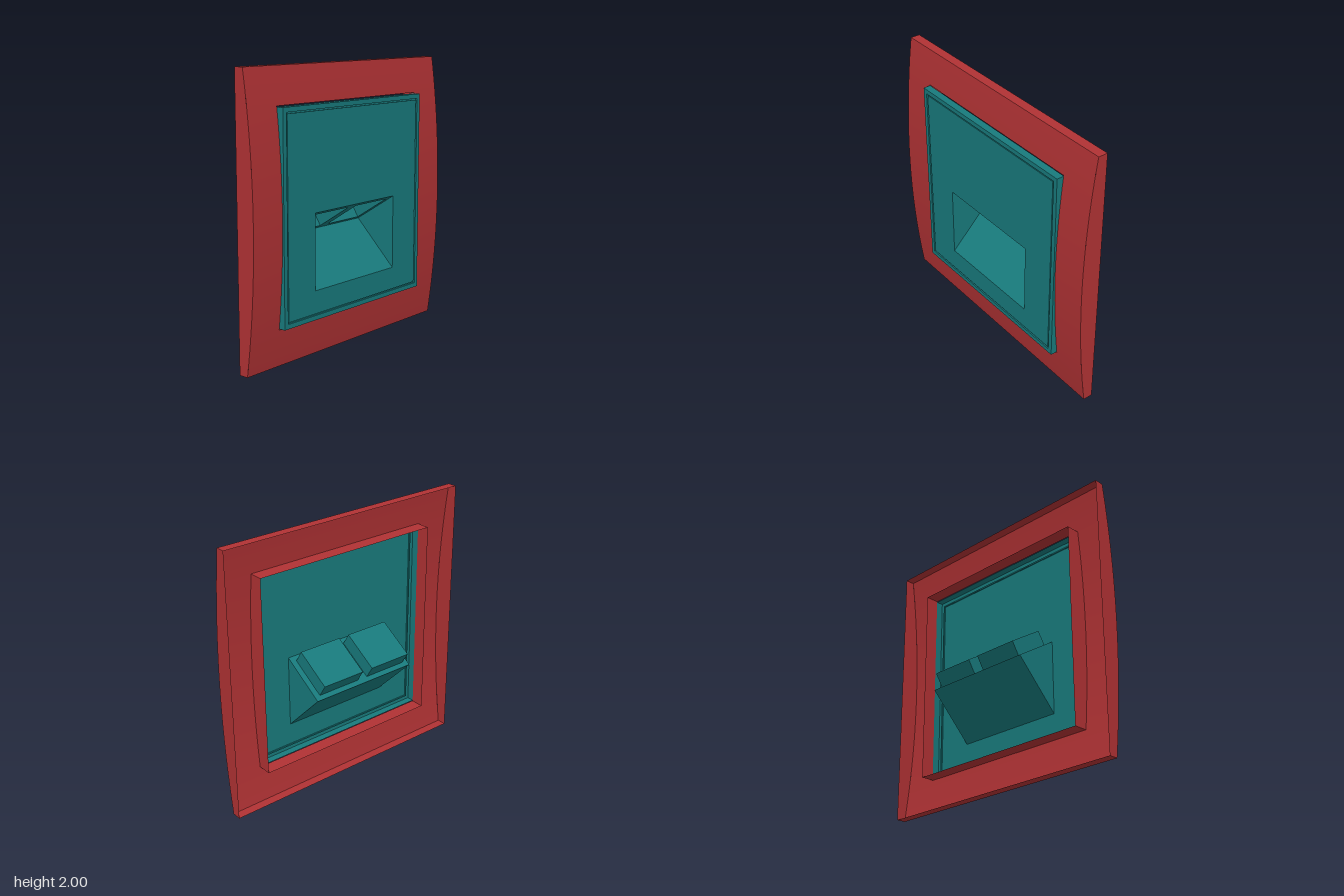
import * as THREE from 'three';

const red = new THREE.MeshStandardMaterial({ color: 0xb03234, side: THREE.DoubleSide });
const teal = new THREE.MeshStandardMaterial({ color: 0x187a7c, side: THREE.DoubleSide });
const tealFlat = teal.clone();
tealFlat.flatShading = true;

function add(parent, name, geometry, material) {
  const mesh = new THREE.Mesh(geometry, material);
  mesh.name = name;
  parent.add(mesh);
  return mesh;
}

// Thin sheet whose points follow fn(u, v) -> [x, y, z]
function sheet(fn, segments = 1) {
  const g = new THREE.PlaneGeometry(1, 1, 1, segments);
  const p = g.attributes.position;
  for (let i = 0; i < p.count; i++) p.setXYZ(i, ...fn(p.getX(i) + 0.5, p.getY(i) + 0.5));
  g.computeVertexNormals();
  return g;
}

function rectangle(Type, x0, y0, x1, y1) {
  return new Type([[x0, y0], [x1, y0], [x1, y1], [x0, y1]].map(([x, y]) => new THREE.Vector2(x, y)));
}

const lerp = THREE.MathUtils.lerp;
const BACK = 0.02;
// Gentle cylindrical bulge: 0.09 at the ends, 0.165 in the middle
const R = 6.7;
const bulge = (y) => 0.165 - R + Math.sqrt(R * R - (y - 1) ** 2);

// Hollow cover plate, local z pointing out of the wall
function createPlate() {
  const plate = new THREE.Group();
  plate.name = 'coverPlate';
  const h = 0.735, yLow = 0.265, yHigh = 1.745;
  const front = (x0, x1, y0, y1) => sheet((u, v) => {
    const y = lerp(y0, y1, v);
    return [lerp(x0, x1, u), y, bulge(y)];
  }, 16);
  add(plate, 'plateTop', front(-1, 1, yHigh, 2), red);
  add(plate, 'plateBottom', front(-1, 1, 0, yLow), red);
  add(plate, 'plateSide', front(-1, -h, yLow, yHigh), red);
  add(plate, 'plateSide', front(h, 1, yLow, yHigh), red);

  // Outer rim walls and the collar around the opening
  for (const [name, w, y0, y1] of [['rim', 1, 0, 2], ['collar', h, yLow, yHigh]]) {
    for (const s of [-1, 1]) {
      add(plate, name + 'Side', sheet((u, v) => {
        const y = lerp(y0, y1, v);
        return [s * w, y, lerp(BACK, bulge(y), u)];
      }, 24), red);
    }
    for (const y of [y0, y1]) {
      add(plate, name + 'End', sheet((u, v) => [lerp(-w, w, u), y, lerp(BACK, bulge(y), v)]), red);
    }
  }
  return plate;
}

// Square insert: stepped frame, panel and angled socket recess
function createInsert() {
  const insert = new THREE.Group();
  insert.name = 'insert';

  // Stepped frame, a four-sided lathe
  const steps = [[0.733, 0.12], [0.733, 0.175], [0.7, 0.175], [0.7, 0.163], [0.69, 0.163], [0.69, 0.172]];
  const frame = new THREE.LatheGeometry(
    steps.map(([r, z]) => new THREE.Vector2(r * Math.SQRT2, z)), 4, Math.PI / 4);
  frame.rotateX(Math.PI / 2);
  add(insert, 'insertFrame', frame, tealFlat).position.y = 1.005;

  // Panel with the recess opening
  const PZ = 0.172, W = 0.425;
  const low = [0.477, PZ], lip = [0.807, -0.155], high = [1.013, PZ];
  const panel = rectangle(THREE.Shape, -0.69, 0.315, 0.69, 1.695);
  panel.holes.push(rectangle(THREE.Path, -W, low[0], W, high[0]));
  add(insert, 'panel', new THREE.ShapeGeometry(panel), teal).position.z = PZ;

  // Sloping floor and triangular cheeks of the recess
  add(insert, 'recessFloor', sheet((u, v) =>
    [lerp(-W, W, u), lerp(low[0], lip[0], v), lerp(low[1], lip[1], v)]), teal);
  for (const s of [-1, 1]) {
    const cheek = new THREE.BufferGeometry().setFromPoints(
      [low, high, lip].map(([y, z]) => new THREE.Vector3(s * W, y, z)));
    cheek.computeVertexNormals();
    add(insert, 'recessCheek', cheek, teal);
  }

  // Tilted upper wall carrying two open sockets
  const wall = new THREE.Group();
  wall.name = 'socketWall';
  wall.position.set(0, lip[0], lip[1]);
  wall.rotation.x = Math.atan2(high[1] - lip[1], high[0] - lip[0]);
  const length = Math.hypot(high[0] - lip[0], high[1] - lip[1]);
  const face = rectangle(THREE.Shape, -W, 0, W, length);
  const y0 = 0.037, y1 = 0.345, depth = 0.106;
  for (const s of [-1, 1]) {
    const x0 = s * 0.212 - 0.17, x1 = s * 0.212 + 0.17;
    face.holes.push(rectangle(THREE.Path, x0, y0, x1, y1));
    // Box without its front side
    const socket = new THREE.BoxGeometry(x1 - x0, y1 - y0, depth);
    const index = Array.from(socket.index.array);
    index.splice(24, 6);
    socket.setIndex(index);
    add(wall, 'socket', socket, teal).position.set(s * 0.212, (y0 + y1) / 2, -depth / 2);
  }
  add(wall, 'socketFace', new THREE.ShapeGeometry(face), teal);
  insert.add(wall);
  return insert;
}

export function createModel() {
  const model = new THREE.Group();
  model.name = 'wallSocket';
  const body = new THREE.Group();
  body.name = 'body';
  body.rotation.y = Math.PI / 2; // outward side faces +x
  body.add(createPlate(), createInsert());
  model.add(body);
  return model;
}
